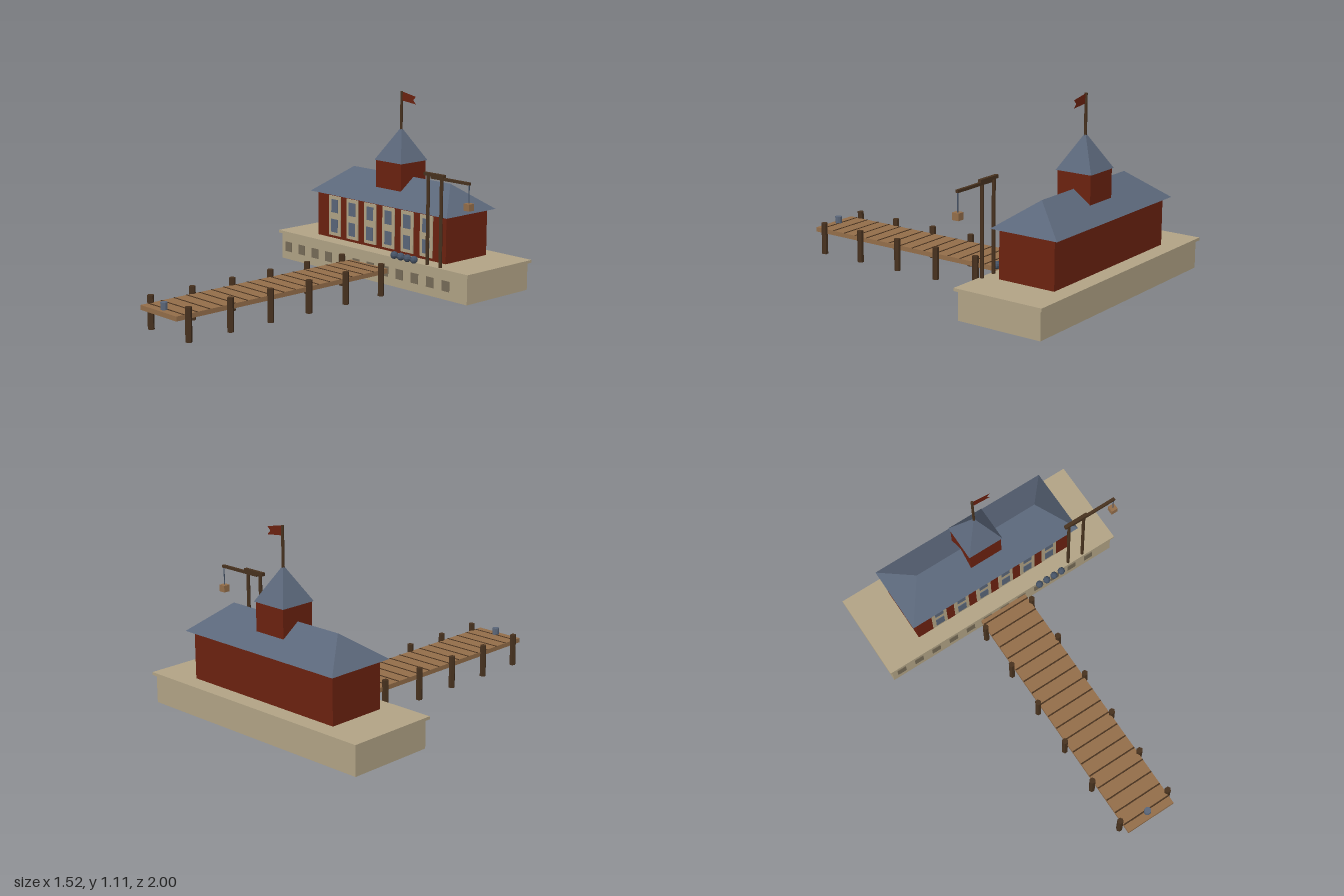
import * as THREE from 'three';

const mat = (name, color, extra = {}) => {
  const m = new THREE.MeshStandardMaterial({ color, flatShading: true, ...extra });
  m.name = name;
  return m;
};

export function createModel() {
  const brick = mat('brick red', 0x6c2210);
  const flagRed = mat('flag red', 0x6c2210, { side: THREE.DoubleSide });
  const stone = mat('sandstone', 0xb2a486);
  const slate = mat('slate', 0x5b677a);
  const vent = mat('cellar window', 0x776c58);
  const wood = mat('plank wood', 0x946e4a);
  const timber = mat('dark timber', 0x48321f);
  const iron = mat('dark iron', 0x465366);

  const model = new THREE.Group();
  model.name = 'harbourHouse';

  const add = (name, geometry, material, x, y, z) => {
    const mesh = new THREE.Mesh(geometry, material);
    mesh.name = name;
    mesh.position.set(x, y, z);
    model.add(mesh);
    return mesh;
  };
  // box given by its size, centre x/z and bottom y
  const box = (name, material, w, h, d, x, y, z) =>
    add(name, new THREE.BoxGeometry(w, h, d), material, x, y + h / 2, z);
  // upright post given by its bottom y
  const post = (name, material, r, h, sides, x, y, z) =>
    add(name, new THREE.CylinderGeometry(r, r, h, sides).rotateY(Math.PI / 6), material, x, y + h / 2, z);

  const houseZ = -0.737;

  // Stone quay with projecting cap and cellar windows
  box('quayBase', stone, 1.49, 0.155, 0.495, 0, 0.05, houseZ);
  box('quayCap', stone, 1.52, 0.016, 0.525, 0, 0.205, houseZ);
  for (let i = 0; i < 12; i++) {
    box('cellarWindow', vent, 0.055, 0.058, 0.006, -0.686 + i * 0.116, 0.098, -0.489);
  }

  // House walls and window bays
  box('houseWalls', brick, 1.025, 0.264, 0.332, 0, 0.221, houseZ);
  for (let i = 0; i < 6; i++) {
    const x = (i - 2.5) * 0.147;
    box('windowSurround', stone, 0.095, 0.236, 0.008, x, 0.237, -0.569);
    for (const y of [0.257, 0.375]) {
      box('windowPane', slate, 0.053, 0.078, 0.004, x, y, -0.564);
    }
  }

  // Hipped roof
  add('hipRoof', hipRoof(0.545, 0.2, 0.385, 0.145), slate, 0, 0.485, houseZ);

  // Tower, spire, pole and flag
  box('towerWalls', brick, 0.2, 0.215, 0.2, 0, 0.5, houseZ);
  const spire = new THREE.ConeGeometry(0.107 * Math.SQRT2, 0.19, 4).rotateY(Math.PI / 4);
  add('spire', spire, slate, 0, 0.81, houseZ);
  post('flagPole', timber, 0.008, 0.22, 6, 0, 0.89, houseZ);
  const flag = new THREE.Shape([
    [0.006, 1.108], [0.112, 1.088], [0.09, 1.068], [0.112, 1.045], [0.006, 1.057],
  ].map(([x, y]) => new THREE.Vector2(x, y)));
  add('flag', new THREE.ShapeGeometry(flag), flagRed, 0, 0, houseZ);

  // Pier deck with dark plank joints, piles and mooring bollard
  box('pierDeck', wood, 0.3, 0.026, 1.488, 0, 0.118, 0.256);
  for (let i = 0; i < 18; i++) {
    box('plankJoint', timber, 0.3, 0.004, 0.008, 0, 0.142, -0.459 + i * 0.083);
  }
  for (let i = 0; i < 6; i++) {
    for (const side of [-1, 1]) {
      post('pierPile', timber, 0.018, 0.184, 6, side * 0.158, 0, -0.428 + i * 0.2715);
    }
  }
  post('bollard', slate, 0.02, 0.04, 8, 0, 0.143, 0.963);

  // Row of round buoys on the quay edge
  for (let i = 0; i < 4; i++) {
    add('buoy', new THREE.SphereGeometry(0.022, 8, 6), iron, 0.231 + i * 0.05, 0.242, -0.457);
  }

  // Loading crane with rope and hanging crate
  const craneZ = -0.49;
  for (const x of [0.45, 0.547]) post('craneMast', timber, 0.01, 0.5, 6, x, 0.218, craneZ);
  box('craneHeadBeam', timber, 0.147, 0.018, 0.02, 0.496, 0.715, craneZ);
  box('craneArm', timber, 0.28, 0.015, 0.016, 0.611, 0.703, craneZ);
  post('craneRope', iron, 0.003, 0.106, 6, 0.745, 0.6, craneZ);
  box('hangingCrate', wood, 0.039, 0.038, 0.039, 0.745, 0.567, craneZ);

  model.position.x = -0.0025;
  const root = new THREE.Group();
  root.name = 'harbourScene';
  root.add(model);
  return root;
}

// Closed hipped roof: half width, half depth, half ridge length, height
function hipRoof(w, d, r, h) {
  const corners = [[-w, 0, d], [w, 0, d], [w, 0, -d], [-w, 0, -d], [-r, h, 0], [r, h, 0]];
  const faces = [0, 1, 5, 0, 5, 4, 1, 2, 5, 2, 3, 4, 2, 4, 5, 3, 0, 4, 0, 3, 2, 0, 2, 1];
  const geometry = new THREE.BufferGeometry();
  geometry.setAttribute('position', new THREE.Float32BufferAttribute(faces.flatMap((i) => corners[i]), 3));
  geometry.computeVertexNormals();
  return geometry;
}
